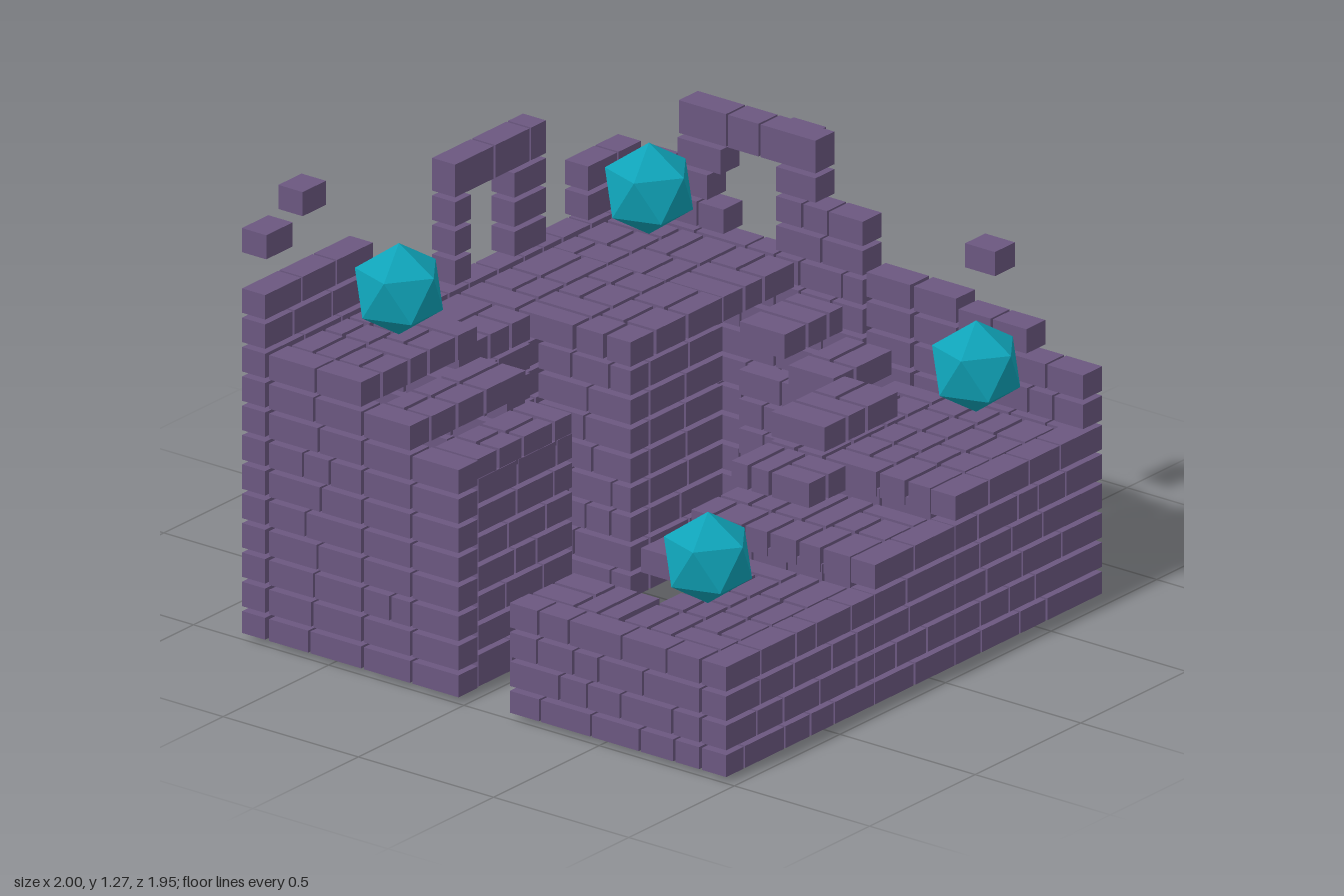
import * as THREE from 'three';
import { mergeGeometries } from 'three/addons/utils/BufferGeometryUtils.js';

const GAP = 0.014, PITCH = 0.0925, BASE = 0.012, HEIGHT = 0.077;
const stone = new THREE.MeshStandardMaterial({ color: 0x6b5780, flatShading: true });
const crystalMat = new THREE.MeshStandardMaterial({ color: 0x0fa3b8, flatShading: true });

// Small seeded generator for irregular brick lengths
let seed = 7;
const rnd = () => (seed = (seed * 16807) % 2147483647) / 2147483647;

const rowY = (k) => (k === 0 ? 0.02 : BASE + k * PITCH);
const rowTop = (k) => BASE + k * PITCH + HEIGHT;

function block(x0, x1, y0, y1, z0, z1) {
  return new THREE.BoxGeometry(x1 - x0, y1 - y0, z1 - z0)
    .translate((x0 + x1) / 2, (y0 + y1) / 2, (z0 + z1) / 2);
}

// Split a length into irregular bricks, returned as [start, end] pairs
function split(a, b, min, max) {
  const out = [];
  let p = a;
  while (p < b - 0.01) {
    let q = p + min + rnd() * (max - min);
    if (b - q < min * 0.7) q = b;
    out.push([p, q === b ? b : q - GAP * 0.6]);
    p = q;
  }
  return out;
}

// One course of bricks along the longer side of its footprint
function course(x0, x1, z0, z1, y0, y1) {
  return x1 - x0 >= z1 - z0
    ? split(x0, x1, 0.09, 0.2).map(([a, b]) => block(a, b, y0, y1, z0, z1))
    : split(z0, z1, 0.09, 0.2).map(([a, b]) => block(x0, x1, y0, y1, a, b));
}

// Stacked courses; dy lifts the joints so neighbouring walls do not line up
function wall([x0, x1, z0, z1, k0, k1, dy = 0]) {
  const out = [];
  for (let k = k0; k <= k1; k++) {
    out.push(...course(x0, x1, z0, z1, k === 0 ? rowY(0) : rowY(k) + dy, rowTop(k) + dy));
  }
  return out;
}

// Paved floor: strips whose cells hold one long slab or two short ones
function floor([x0, x1, z0, z1, k]) {
  const out = [], n = Math.max(1, Math.round((z1 - z0) / 0.185)), d = (z1 - z0) / n;
  for (let i = 0; i < n; i++) {
    const s = z0 + i * d + GAP / 2, e = s + d - GAP;
    for (const [a, b] of split(x0, x1, 0.09, 0.17)) {
      const slab = (p, q) => out.push(block(a, b - GAP * 0.4, rowY(k), rowTop(k), p, q));
      if (d < 0.14 || b - a < 0.105) slab(s, e);
      else {
        const m = s + (e - s) * (0.4 + 0.2 * rnd());
        slab(s, m - GAP / 2);
        slab(m + GAP / 2, e);
      }
    }
  }
  return out;
}

export function createModel() {
  const group = new THREE.Group();
  const add = (name, geos) => {
    const mesh = new THREE.Mesh(mergeGeometries(geos), stone);
    mesh.name = name;
    group.add(mesh);
  };

  // Outer walls: x range, z range, first and last course, lift
  add('frontWall', [
    [-1, -0.3, 0.88, 0.97, 0, 3],
    [-0.295, 0.08, 0.88, 0.97, 0, 4],
    [0.085, 0.69, 0.88, 0.97, 0, 5],
  ].flatMap(wall));
  add('rightWall', [
    [0.69, 0.78, 0.51, 0.97, 0, 5],
    [0.69, 0.78, 0.345, 0.5, 0, 5, 0.03],
    [0.69, 0.78, 0.17, 0.33, 0, 6, 0.03],
    [0.69, 0.78, -0.165, 0.155, 0, 8],
    [0.69, 0.78, -0.73, -0.175, 0, 8],
  ].flatMap(wall));
  add('backWall', [
    [-1, 0.78, -0.82, -0.735, 0, 8],
    [-1, -0.49, -0.82, -0.735, 9, 11],
    [0.53, 0.78, -0.82, -0.735, 9, 10],
  ].flatMap(wall));
  add('leftWall', [
    [-1, -0.91, -0.72, -0.38, 0, 9],
    [-1, -0.91, -0.37, -0.2, 0, 8],
    [-1, -0.91, -0.19, -0.02, 0, 7],
    [-1, -0.91, 0.17, 0.87, 0, 3],
  ].flatMap(wall));

  // Parapet stepping up along the right wall
  add('parapet', [
    [0.69, 0.78, 0.51, 0.97, 6, 7],
    [0.69, 0.78, 0.51, 0.76, 8, 8],
    [0.69, 0.78, 0.345, 0.5, 6, 8, 0.03],
    [0.69, 0.78, 0.17, 0.33, 7, 8, 0.03],
    [0.69, 0.78, -0.165, 0.155, 9, 10],
    [0.69, 0.78, -0.72, -0.36, 9, 9],
    [0.69, 0.78, -0.7, -0.42, 10, 10],
  ].flatMap(wall));

  // Inner walls facing the courtyard
  add('innerWalls', [
    [-0.9, -0.455, -0.11, -0.025, 0, 6, 0.03],
    [-0.54, -0.455, -0.72, -0.2, 0, 7, 0.03],
    [-0.54, -0.455, -0.19, -0.12, 0, 6, 0.03],
    [-0.44, -0.11, -0.53, -0.45, 0, 7],
    [-0.095, -0.01, -0.43, -0.09, 0, 7],
    [0, 0.34, -0.17, -0.09, 0, 7],
    [0.405, 0.48, -0.08, 0.28, 0, 5, 0.03],
    [0.09, 0.4, 0.285, 0.37, 0, 5],
    [-0.285, 0.08, 0.285, 0.37, 0, 3, 0.04],
    [-0.285, -0.21, 0.38, 0.87, 0, 3, 0.04],
    [0.095, 0.17, 0.38, 0.87, 0, 4, 0.04],
    [-0.69, -0.3, 0.52, 0.6, 0, 2, 0.04],
    [-0.79, -0.71, 0.27, 0.5, 0, 2, 0.04],
    [-0.9, -0.71, 0.175, 0.26, 0, 2, 0.04],
    [-0.4, -0.31, 0.42, 0.51, 0, 3],
  ].flatMap(wall));

  // Terraces climbing around the courtyard
  add('terraces', [
    [-0.9, -0.7, 0.17, 0.5, 3],
    [-0.9, -0.3, 0.51, 0.88, 3],
    [-0.29, 0.08, 0.28, 0.88, 4],
    [-0.1, 0.08, 0.28, 0.58, 5],
    [0.09, 0.68, 0.28, 0.88, 5],
    [0.09, 0.44, 0.28, 0.49, 6],
    [0.4, 0.68, 0.1, 0.28, 6],
    [0.4, 0.68, -0.08, 0.1, 7],
    [0.34, 0.68, -0.72, -0.08, 8],
    [-0.1, 0.34, -0.72, -0.08, 8],
    [-0.45, -0.11, -0.72, -0.44, 8],
    [-0.9, -0.45, -0.19, -0.02, 7],
    [-0.9, -0.45, -0.37, -0.19, 8],
    [-0.9, -0.45, -0.72, -0.37, 9],
  ].flatMap(floor));

  // Window arches: two piers with a taller lintel
  add('backArch', [
    ...wall([-0.1, -0.025, -0.82, -0.735, 9, 11]),
    ...wall([0.18, 0.33, -0.82, -0.735, 9, 11]),
    ...course(-0.1, 0.33, -0.82, -0.735, rowY(12), 1.225),
  ]);
  add('rightArch', [
    ...wall([0.69, 0.78, -0.165, -0.02, 11, 11]),
    ...wall([0.69, 0.78, -0.53, -0.37, 11, 11]),
    ...course(0.69, 0.78, -0.525, -0.02, rowY(12), 1.225),
  ]);

  // Loose bricks: centre, width and depth
  [
    [0.95, 1.08, -0.28, 0.095, 0.12],
    [0.89, 0.925, 0.47, 0.095, 0.11],
    [-0.74, 1.155, -0.93, 0.125, 0.09],
    [-0.575, 1.235, -0.93, 0.11, 0.09],
    [-0.55, 0.42, 0.405, 0.12, 0.11],
    [-0.85, 0.038, 0.245, 0.1, 0.15],
    [-0.755, 0.038, 0.245, 0.09, 0.15],
  ].forEach(([x, y, z, w, d]) => {
    const brick = new THREE.Mesh(new THREE.BoxGeometry(w, 0.076, d), stone);
    brick.position.set(x, y, z);
    brick.name = 'looseBrick';
    group.add(brick);
  });

  // Floating crystals, each standing on a point
  const crystalGeo = new THREE.IcosahedronGeometry(0.144, 0);
  [[-0.68, 1.085, -0.49], [0.44, 1.05, -0.44], [0.51, 0.76, 0.715], [-0.76, 0.57, 0.715]]
    .forEach((p) => {
      const crystal = new THREE.Mesh(crystalGeo, crystalMat);
      crystal.position.set(...p);
      crystal.rotation.x = -1.0172;
      crystal.name = 'crystal';
      group.add(crystal);
    });

  return group;
}
